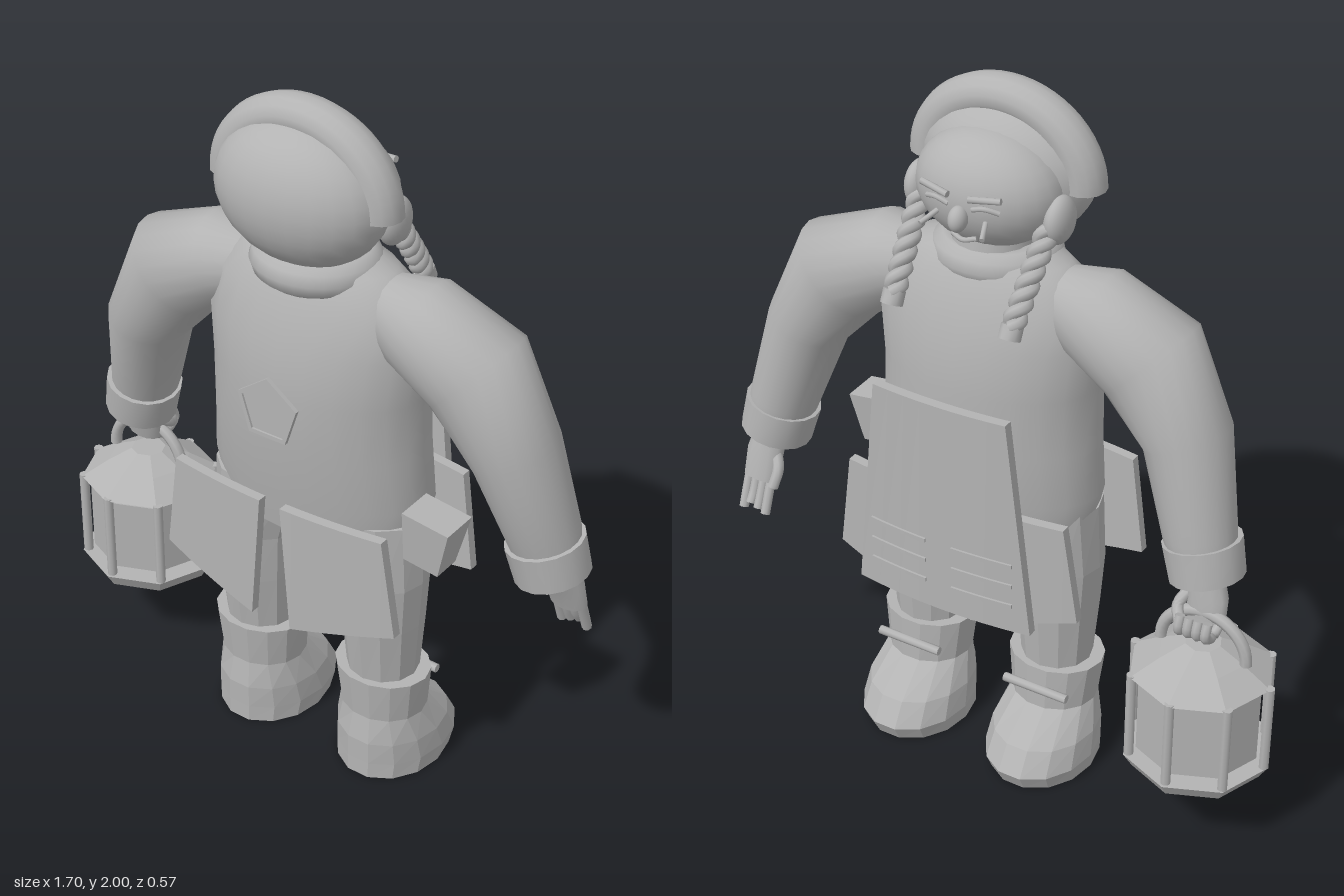
import * as THREE from 'three';

const grey = new THREE.MeshStandardMaterial({ color: 0xb3b3b3 });
grey.name = 'plain grey';
const V = (x, y, z) => new THREE.Vector3(x, y, z);

function add(parent, name, geo, pos = [0, 0, 0], rot = [0, 0, 0], scale = [1, 1, 1]) {
  const m = new THREE.Mesh(geo, grey);
  m.name = name;
  m.position.set(...pos);
  m.rotation.set(...rot);
  m.scale.set(...scale);
  parent.add(m);
  return m;
}

function flat(geo) {
  const g = geo.index ? geo.toNonIndexed() : geo;
  g.computeVertexNormals();
  return g;
}

// Skin elliptical sections {c, u, v}; u x v points against the path
function loft(sections, n) {
  const p = [], idx = [], k = sections.length;
  const ring = ({ c, u, v }) => {
    for (let j = 0; j < n; j++) {
      const a = (j / n) * Math.PI * 2;
      const q = c.clone().addScaledVector(u, Math.cos(a)).addScaledVector(v, Math.sin(a));
      p.push(q.x, q.y, q.z);
    }
  };
  sections.forEach(ring);
  for (let i = 0; i < k - 1; i++) for (let j = 0; j < n; j++) {
    const a = i * n + j, b = i * n + (j + 1) % n;
    idx.push(a, a + n, b, b, a + n, b + n);
  }
  [sections[0], sections[k - 1]].forEach((s, e) => {
    const o = p.length / 3;
    ring(s);
    p.push(s.c.x, s.c.y, s.c.z);
    for (let j = 0; j < n; j++) {
      const a = o + j, b = o + (j + 1) % n;
      idx.push(o + n, e ? b : a, e ? a : b);
    }
  });
  const g = new THREE.BufferGeometry();
  g.setAttribute('position', new THREE.Float32BufferAttribute(p, 3));
  g.setIndex(idx);
  g.computeVertexNormals();
  return g;
}

// Level sections: [x, y, zBack, zFront, radiusX]
const stack = (rows, n) => loft(rows.map(([x, y, zb, zf, rx]) => ({
  c: V(x, y, (zb + zf) / 2), u: V(rx, 0, 0), v: V(0, 0, (zb - zf) / 2),
})), n);

// Limb sections square to the path: [x, y, z, radius, depth radius]
function limb(rows, n) {
  const c = rows.map(r => V(r[0], r[1], r[2]));
  return loft(rows.map((r, i) => {
    const d = c[Math.min(i + 1, c.length - 1)].clone().sub(c[Math.max(i - 1, 0)]).normalize();
    const u = d.clone().cross(V(0, 0, 1)).normalize();
    const v = u.clone().cross(d).negate();
    if (v.clone().cross(d).dot(u) > 0) v.negate();
    return { c: c[i], u: u.multiplyScalar(r[3]), v: v.multiplyScalar(r[4] ?? r[3]) };
  }), n);
}

function rod(points, r, n = 8) {
  const curve = new THREE.CatmullRomCurve3(points.map(q => V(...q)));
  return limb(curve.getPoints(points.length > 2 ? 10 : 1).map(q => [q.x, q.y, q.z, r]), n);
}

// Bowed cloth plate from its four corners [x, y]
function panel(tl, tr, bl, br, z0, bow, thick) {
  const g = new THREE.BoxGeometry(1, 1, thick, 8, 1, 1), p = g.attributes.position;
  for (let i = 0; i < p.count; i++) {
    const s = p.getX(i) + 0.5, t = p.getY(i) + 0.5, L = THREE.MathUtils.lerp;
    const x = L(L(bl[0], br[0], s), L(tl[0], tr[0], s), t);
    const y = L(L(bl[1], br[1], s), L(tl[1], tr[1], s), t);
    p.setXYZ(i, x, y, p.getZ(i) + z0 - bow * x * x);
  }
  return flat(g);
}

function braid(parent, s) {
  const a = V(s * 0.19, 1.7, 0), b = V(s * 0.175, 1.46, -0.175);
  const d = b.clone().sub(a).normalize(), u = d.clone().cross(V(1, 0, 0)).normalize(), v = d.clone().cross(u);
  for (let k = 0; k < 2; k++) {
    const pts = [];
    for (let i = 0; i <= 40; i++) {
      const t = i / 40, w = t * Math.PI * 7 + k * Math.PI;
      pts.push(a.clone().lerp(b, t).addScaledVector(u, 0.015 * Math.cos(w)).addScaledVector(v, 0.015 * Math.sin(w)));
    }
    add(parent, 'braidStrand', new THREE.TubeGeometry(new THREE.CatmullRomCurve3(pts), 60, 0.018, 8));
  }
  add(parent, 'braidTie', rod([[b.x, b.y + 0.01, b.z + 0.005], [b.x, b.y - 0.025, b.z - 0.012]], 0.03, 10));
}

function lantern(parent) {
  const g = new THREE.Group();
  g.name = 'lantern';
  g.position.set(-0.706, 0, -0.083);
  parent.add(g);
  const part = (name, rt, rb, y0, y1) =>
    add(g, name, flat(new THREE.CylinderGeometry(rt, rb, y1 - y0, 8)), [0, (y0 + y1) / 2, 0]);
  part('lanternBase', 0.21, 0.185, 0.233, 0.275);
  part('lanternGlass', 0.175, 0.175, 0.295, 0.52);
  part('lanternRoof', 0.12, 0.2, 0.54, 0.59);
  part('lanternCap', 0.05, 0.12, 0.59, 0.625);
  for (let i = 0; i < 8; i++) {
    const a = i * Math.PI / 4;
    add(g, 'lanternPost', new THREE.CylinderGeometry(0.014, 0.014, 0.27, 8),
      [0.198 * Math.cos(a), 0.41, 0.188 * Math.sin(a)]);
  }
  add(g, 'lanternHandle', new THREE.TorusGeometry(0.125, 0.017, 8, 20, Math.PI), [0, 0.595, 0]);
}

export function createModel() {
  const root = new THREE.Group();
  const f = new THREE.Group();
  f.name = 'figure';
  f.position.x = 0.066;
  root.add(f);

  // Torso and neck
  add(f, 'coat', stack([
    [0, 0.78, 0.19, -0.16, 0.31], [0, 0.9, 0.21, -0.18, 0.335], [0, 1.05, 0.23, -0.185, 0.32],
    [0, 1.22, 0.24, -0.185, 0.315], [0, 1.36, 0.225, -0.17, 0.33], [0, 1.48, 0.19, -0.13, 0.31],
    [0, 1.555, 0.15, -0.09, 0.22], [0, 1.58, 0.12, -0.06, 0.13]], 24));
  add(f, 'neck', new THREE.CylinderGeometry(0.1, 0.12, 0.14, 16), [0, 1.58, 0.03]);
  add(f, 'collar', new THREE.TorusGeometry(0.13, 0.05, 10, 28), [0, 1.54, 0.05], [Math.PI / 2, 0, 0], [1, 0.9, 1]);

  // Head, hair cap and headband
  const ball = new THREE.SphereGeometry(1, 24, 16);
  add(f, 'head', ball, [0, 1.735, 0.02], [0, 0, 0], [0.205, 0.155, 0.155]);
  add(f, 'hair', ball, [0, 1.755, 0.115], [0, 0, 0], [0.245, 0.19, 0.158]);
  add(f, 'headband', new THREE.TorusGeometry(0.222, 0.061, 14, 28, Math.PI), [0, 1.745, 0.1], [0, 0, 0], [1, 0.9, 1]);
  add(f, 'nose', ball, [0, 1.705, -0.14], [0.3, 0, 0], [0.025, 0.035, 0.03]);
  add(f, 'mouth', rod([[-0.035, 1.645, -0.11], [0, 1.638, -0.12], [0.035, 1.645, -0.11]], 0.007));
  for (const s of [-1, 1]) {
    add(f, 'ear', ball, [s * 0.205, 1.69, 0.01], [0, 0, 0], [0.035, 0.065, 0.06]);
    add(f, 'eyeLid', rod([[s * 0.035, 1.735, -0.13], [s * 0.07, 1.745, -0.13], [s * 0.105, 1.735, -0.115]], 0.007));
    add(f, 'brow', rod([[s * 0.03, 1.765, -0.14], [s * 0.115, 1.775, -0.125]], 0.009));
    add(f, 'lash', rod([[s * 0.07, 1.705, -0.125], [s * 0.09, 1.685, -0.175]], 0.007));
    braid(f, s);
  }

  for (const s of [-1, 1]) {
    // Sleeve and cuff
    add(f, 'sleeve', limb([[s * 0.2, 1.46, 0.03, 0.09], [s * 0.3, 1.445, 0.03, 0.125, 0.135], [s * 0.47, 1.36, 0.025, 0.155, 0.14],
      [s * 0.585, 1.17, 0.015, 0.115, 0.13], [s * 0.655, 0.92, -0.03, 0.098, 0.1], [s * 0.67, 0.87, -0.035, 0.09, 0.09]], 20));
    add(f, 'cuff', limb([[s * 0.66, 0.905, -0.028, 0.108], [s * 0.685, 0.805, -0.038, 0.103]], 16));

    // Trouser leg and boot
    const x = s * 0.209;
    add(f, 'trouserLeg', flat(stack([[x, 0.3, 0.12, -0.075, 0.1], [x, 0.5, 0.145, -0.09, 0.115],
      [x, 0.65, 0.155, -0.095, 0.125], [x * 0.85, 0.85, 0.16, -0.11, 0.15]], 12)));
    add(f, 'boot', flat(stack([[x, 0, 0.145, -0.225, 0.15], [x, 0.05, 0.145, -0.25, 0.156],
      [x, 0.12, 0.145, -0.205, 0.15], [x, 0.2, 0.13, -0.1, 0.125], [x, 0.33, 0.143, -0.095, 0.14]], 14)));
    add(f, 'bootStrap', rod([[x - 0.1, 0.265, -0.1], [x + 0.1, 0.265, -0.1]], 0.013));
  }

  // Back and front hip flaps
  for (const side of [0, Math.PI]) {
    const g = new THREE.Group();
    g.name = side ? 'frontFlaps' : 'backFlaps';
    g.rotation.y = side;
    f.add(g);
    const z = side ? 0.195 : 0.248;
    add(g, 'flap', panel([-0.334, 0.9], [-0.033, 0.9], [-0.376, 0.61], [-0.063, 0.52], z, 0.25, 0.028));
    add(g, 'flap', panel([0.033, 0.9], [0.334, 0.9], [0.063, 0.52], [0.376, 0.61], z, 0.25, 0.028));
  }

  // Apron with ridges on its lower half
  const apron = new THREE.Group();
  apron.name = 'apron';
  apron.rotation.y = Math.PI;
  f.add(apron);
  add(apron, 'apronPlate', panel([-0.2, 1.22], [0.2, 1.22], [-0.27, 0.57], [0.27, 0.57], 0.248, 0.3, 0.028));
  for (let i = 0; i < 3; i++) for (const s of [-1, 1]) {
    const y = 0.65 + i * 0.065, a = s < 0 ? -0.22 : 0.04, b = a + 0.18;
    add(apron, 'apronRidge', panel([a, y + 0.012], [b, y + 0.012], [a, y], [b, y], 0.264, 0.3, 0.008));
  }

  // Five-sided back patch with a raised rim
  const pent = r => Array.from({ length: 5 }, (_, i) => {
    const a = Math.PI / 2 + i * Math.PI * 0.4;
    return new THREE.Vector2(r * Math.cos(a), r * Math.sin(a));
  });
  const rim = new THREE.Shape(pent(0.097));
  rim.holes.push(new THREE.Path(pent(0.083).reverse()));
  const opt = depth => ({ depth, bevelEnabled: false });
  add(f, 'patchRim', new THREE.ExtrudeGeometry(rim, opt(0.012)), [0, 1.19, 0.256]);
  add(f, 'patch', new THREE.ExtrudeGeometry(new THREE.Shape(pent(0.084)), opt(0.006)), [0, 1.19, 0.256]);

  // Hip pouch
  add(f, 'pouch', flat(new THREE.CylinderGeometry(0.1, 0.075, 0.15, 4).rotateY(Math.PI / 4)),
    [0.405, 0.872, 0.1], [0, 0, -0.12], [1, 1, 0.8]);

  // Open hand
  add(f, 'openPalm', limb([[0.685, 0.83, -0.05, 0.045], [0.695, 0.75, -0.085, 0.058, 0.035], [0.7, 0.67, -0.11, 0.055, 0.028]], 12));
  for (let i = 0; i < 4; i++) {
    const x = 0.662 + i * 0.025;
    add(f, 'openFinger', rod([[x, 0.69, -0.105], [x, 0.63, -0.13], [x, 0.58 + 0.01 * (i % 3), -0.15]], 0.014));
  }
  add(f, 'openThumb', rod([[0.66, 0.76, -0.08], [0.635, 0.72, -0.11], [0.64, 0.67, -0.135]], 0.016));

  // Gripping hand and lantern
  add(f, 'gripPalm', limb([[-0.685, 0.83, -0.045, 0.045], [-0.7, 0.75, -0.06, 0.06, 0.038], [-0.705, 0.69, -0.07, 0.055, 0.03]], 12));
  for (let i = 0; i < 4; i++) {
    const x = -0.745 + i * 0.026;
    add(f, 'gripFinger', rod([[x, 0.7, -0.06], [x, 0.675, -0.11], [x, 0.7, -0.16], [x, 0.74, -0.15]], 0.014));
  }
  add(f, 'gripThumb', rod([[-0.65, 0.76, -0.06], [-0.635, 0.73, -0.1], [-0.66, 0.71, -0.14]], 0.016));
  lantern(f);
  return root;
}
